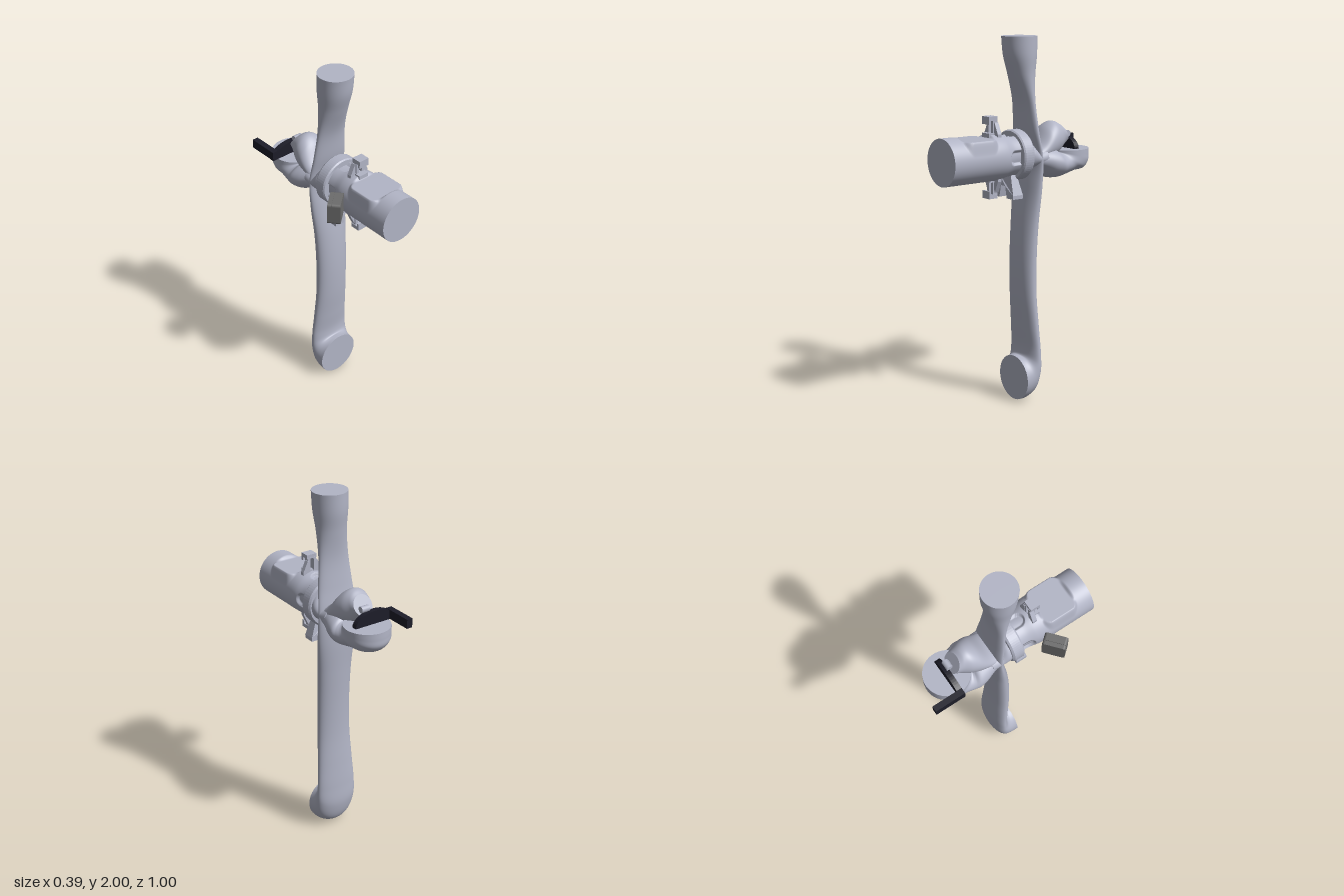
import * as THREE from 'three';

const CX = 0.055, CY = 1.375; // axis of the horizontal pipe
const mat = (name, color) => Object.assign(new THREE.MeshStandardMaterial({ color }), { name });

// Skin elliptical sections [halfWidth, yA, zA, yB, zB]; A and B are opposite ends of the other axis
function loft(rows, steps = 8, seg = 64, deform = null) {
  const A = new THREE.CatmullRomCurve3(rows.map(r => new THREE.Vector3(r[0], r[1], r[2])));
  const B = new THREE.CatmullRomCurve3(rows.map(r => new THREE.Vector3(r[0], r[3], r[4])));
  const n = (rows.length - 1) * steps, pos = [], idx = [];
  const ring = k => {
    const a = A.getPoint(k / n), b = B.getPoint(k / n);
    for (let i = 0; i < seg; i++) {
      const t = i / seg * Math.PI * 2, s = Math.sin(t) / 2;
      const p = new THREE.Vector3(CX + a.x * Math.cos(t),
        (a.y + b.y) / 2 + (a.y - b.y) * s, (a.z + b.z) / 2 + (a.z - b.z) * s);
      if (deform) deform(p, t);
      pos.push(p.x, p.y, p.z);
    }
    return [CX, (a.y + b.y) / 2, (a.z + b.z) / 2];
  };
  for (let k = 0; k <= n; k++) ring(k);
  for (let k = 0; k < n; k++) for (let i = 0; i < seg; i++) {
    const j = (i + 1) % seg, a = k * seg + i, b = k * seg + j;
    idx.push(a, b, a + seg, b, b + seg, a + seg);
  }
  // flat end caps with their own vertices
  for (const k of [0, n]) {
    const base = pos.length / 3;
    pos.push(...ring(k));
    const c = base + seg;
    for (let i = 0; i < seg; i++) {
      const p = base + i, q = base + (i + 1) % seg;
      k ? idx.push(c, p, q) : idx.push(c, q, p);
    }
  }
  const g = new THREE.BufferGeometry();
  g.setAttribute('position', new THREE.Float32BufferAttribute(pos, 3));
  g.setIndex(idx);
  g.computeVertexNormals();
  return g;
}

const smooth = (a, b, x) => THREE.MathUtils.smoothstep(x, a, b);

// Flat pad on top and sunken slots on the top and sides of the horizontal pipe
function shapePipe(p, t) {
  const dx = Math.abs(p.x - CX), dz = Math.abs(p.z - 0.31);
  if (p.y > CY) {
    const qx = Math.max(dx - 0.075, 0), qz = Math.max(dz - 0.06, 0);
    const w = 1 - smooth(0.03, 0.046, Math.hypot(qx, qz));
    p.y += (CY + 0.106 - p.y) * w;
  }
  for (const c of [0, Math.PI / 2, Math.PI, Math.PI * 2]) {
    const s = (t - c) * 0.115, d = Math.hypot(s, Math.max(p.z - 0.1, 0));
    const k = 1 - 0.14 * (1 - smooth(0.033, 0.039, d));
    p.x = CX + (p.x - CX) * k;
    p.y = CY + (p.y - CY) * k;
  }
}

function extrude(points, depth) {
  const g = new THREE.ExtrudeGeometry(new THREE.Shape(points.map(p => new THREE.Vector2(...p))),
    { depth, bevelEnabled: false });
  return g;
}

export function createModel() {
  const model = new THREE.Group();
  const pale = mat('pale blue grey', 0xb2b5c6);
  const grey = mat('dark grey', 0x6c6c6c);
  const black = mat('near black', 0x1d1d29);
  const add = (parent, name, geo, m, x = 0, y = 0, z = 0) => {
    const mesh = new THREE.Mesh(geo, m);
    mesh.name = name;
    mesh.position.set(x, y, z);
    parent.add(mesh);
    return mesh;
  };
  const box = (parent, name, m, w, h, d, x, y, z) =>
    add(parent, name, new THREE.BoxGeometry(w, h, d), m, x, y, z);

  // Tall pipe, flattened behind the joint, ending in a forward elbow
  add(model, 'verticalPipe', loft([
    [0.095, 2, 0.09, 2, -0.1], [0.093, 1.9, 0.078, 1.9, -0.098],
    [0.086, 1.8, 0.047, 1.8, -0.085], [0.09, 1.65, -0.002, 1.65, -0.072],
    [0.105, 1.5, -0.022, 1.5, -0.083], [0.118, 1.36, -0.045, 1.36, -0.1],
    [0.117, 1.2, -0.022, 1.2, -0.104], [0.104, 1, 0.006, 1, -0.094],
    [0.1, 0.8, 0.018, 0.8, -0.085], [0.102, 0.6, 0.014, 0.6, -0.083],
    [0.111, 0.42, -0.002, 0.42, -0.092], [0.12, 0.29, -0.012, 0.27, -0.1],
    [0.124, 0.252, -0.004, 0.14, -0.1], [0.125, 0.25, 0.01, 0.035, -0.065],
    [0.125, 0.25, 0.02, 0.002, -0.005], [0.125, 0.25, 0.03, 0, 0.03],
  ]), pale);

  // Horizontal pipe towards the front
  add(model, 'frontPipe', loft([
    [0.112, 1.488, 0.02, 1.262, 0.02], [0.112, 1.488, 0.1, 1.262, 0.1],
    [0.122, 1.497, 0.155, 1.252, 0.155], [0.125, 1.5, 0.2, 1.25, 0.2],
    [0.125, 1.5, 0.3, 1.25, 0.3], [0.125, 1.5, 0.4, 1.25, 0.4], [0.125, 1.5, 0.5, 1.25, 0.5],
  ], 20, 128, shapePipe), pale);

  // Collar around the joint
  const collar = new THREE.LatheGeometry(
    [[0.1, -0.01], [0.127, -0.01], [0.135, 0], [0.135, 0.052], [0.129, 0.06], [0.1, 0.06]]
      .map(p => new THREE.Vector2(...p)), 64).toNonIndexed();
  collar.computeVertexNormals();
  collar.rotateX(Math.PI / 2);
  add(model, 'collar', collar, pale, CX, CY, 0);

  // Pinched neck between collar and rear branches
  add(model, 'neck', loft([
    [0.115, 1.27, 0.01, 1.48, 0.01], [0.122, 1.285, -0.025, 1.46, -0.025],
    [0.118, 1.3, -0.07, 1.41, -0.07], [0.115, 1.29, -0.12, 1.42, -0.12],
  ]), pale);

  // Lower rear branch: wide swelling, then an elbow opening upwards
  add(model, 'lowerBranch', loft([
    [0.112, 1.3, -0.05, 1.4, -0.05], [0.116, 1.27, -0.11, 1.41, -0.11],
    [0.133, 1.235, -0.17, 1.41, -0.17], [0.139, 1.228, -0.225, 1.4, -0.2],
    [0.132, 1.238, -0.28, 1.385, -0.21], [0.125, 1.253, -0.35, 1.38, -0.212],
    [0.125, 1.262, -0.42, 1.38, -0.211], [0.125, 1.3, -0.456, 1.378, -0.21],
    [0.125, 1.34, -0.46, 1.379, -0.21], [0.125, 1.38, -0.46, 1.38, -0.21],
  ]), pale);

  // Upper rear branch: tapers to a small tilted end
  add(model, 'upperBranch', loft([
    [0.1, 1.33, -0.05, 1.39, -0.05], [0.1, 1.33, -0.12, 1.435, -0.11],
    [0.098, 1.335, -0.19, 1.51, -0.17], [0.086, 1.36, -0.25, 1.535, -0.21],
    [0.066, 1.4, -0.3, 1.535, -0.24], [0.056, 1.42, -0.328, 1.52, -0.268],
  ]), pale);

  // Small hook on the tilted end
  const roll = add(model, 'hookRoll', new THREE.CylinderGeometry(0.018, 0.018, 0.048, 20), pale, 0.063, 1.462, -0.322);
  roll.rotation.z = Math.PI / 2;
  box(model, 'hookStem', pale, 0.04, 0.015, 0.05, 0.063, 1.455, -0.3);

  // Upright clips above and below the front pipe
  for (const side of [0, 1]) {
    const clip = new THREE.Group();
    clip.name = side ? 'lowerClip' : 'upperClip';
    clip.position.set(CX, CY, 0);
    clip.rotation.z = side * Math.PI;
    box(clip, 'clipCap', pale, 0.06, 0.022, 0.055, 0, 0.206, 0.19);
    box(clip, 'clipLip', pale, 0.06, 0.04, 0.012, 0, 0.196, 0.211);
    for (const s of [-1, 1]) {
      box(clip, 'clipPost', pale, 0.016, 0.12, 0.03, s * 0.018, 0.14, 0.175);
      add(clip, 'clipLeg', extrude(s > 0
        ? [[0.02, 0.1], [0.058, 0.1], [0.058, 0.125], [0.03, 0.185], [0.02, 0.185]]
        : [[-0.02, 0.1], [-0.02, 0.185], [-0.03, 0.185], [-0.058, 0.125], [-0.058, 0.1]], 0.025), pale, 0, 0, 0.157);
    }
    box(clip, 'clipFoot', pale, 0.06, 0.03, 0.055, 0, 0.115, 0.19);
    model.add(clip);
  }

  // Splayed bracket under the collar, wider at its foot
  const bracket = extrude([[-0.05, -0.1], [-0.088, -0.205], [-0.088, -0.225], [-0.032, -0.225],
    [-0.018, -0.16], [0.018, -0.16], [0.032, -0.225], [0.088, -0.225], [0.088, -0.205], [0.05, -0.1]], 0.065);
  const bp = bracket.attributes.position;
  for (let i = 0; i < bp.count; i++) {
    const k = bp.getY(i) > -0.15 ? 0.6 : 1;
    bp.setZ(i, (bp.getZ(i) - 0.0325) * k);
  }
  bracket.computeVertexNormals();
  add(model, 'bracket', bracket, pale, CX, CY, 0.071);

  // Angled box beside the front pipe, in two layers with a seam
  const caseGroup = new THREE.Group();
  caseGroup.name = 'sideBox';
  caseGroup.position.set(-0.13, 1.378, 0.21);
  caseGroup.rotation.y = 0.7;
  const r = 0.014, w = 0.062, h = 0.06;
  const outline = new THREE.Shape();
  outline.absarc(w - r, h - r, r, 0, Math.PI / 2);
  outline.absarc(-w + r, h - r, r, Math.PI / 2, Math.PI);
  outline.absarc(-w + r, -h + r, r, Math.PI, Math.PI * 1.5);
  outline.absarc(w - r, -h + r, r, Math.PI * 1.5, Math.PI * 2);
  for (const [name, z, depth] of [['boxBack', -0.034, 0.022], ['boxFront', -0.009, 0.043]])
    add(caseGroup, name, new THREE.ExtrudeGeometry(outline, { depth, bevelEnabled: false }), grey, 0, 0, z);
  box(caseGroup, 'boxCore', grey, 0.116, 0.112, 0.01, 0, 0, -0.01);
  model.add(caseGroup);

  // Black handle: upright half-moon plate with an arm to the rear
  const moon = [];
  for (let i = 0; i <= 24; i++) {
    const t = i / 24 * Math.PI;
    moon.push([0.0175 + 0.1225 * Math.cos(t), 1.381 + 0.072 * Math.sin(t)]);
  }
  add(model, 'handlePlate', extrude(moon, 0.03), black, 0, 0, -0.355);
  box(model, 'handleArm', black, 0.033, 0.05, 0.175, -0.0885, 1.408, -0.4125);
  return model;
}
